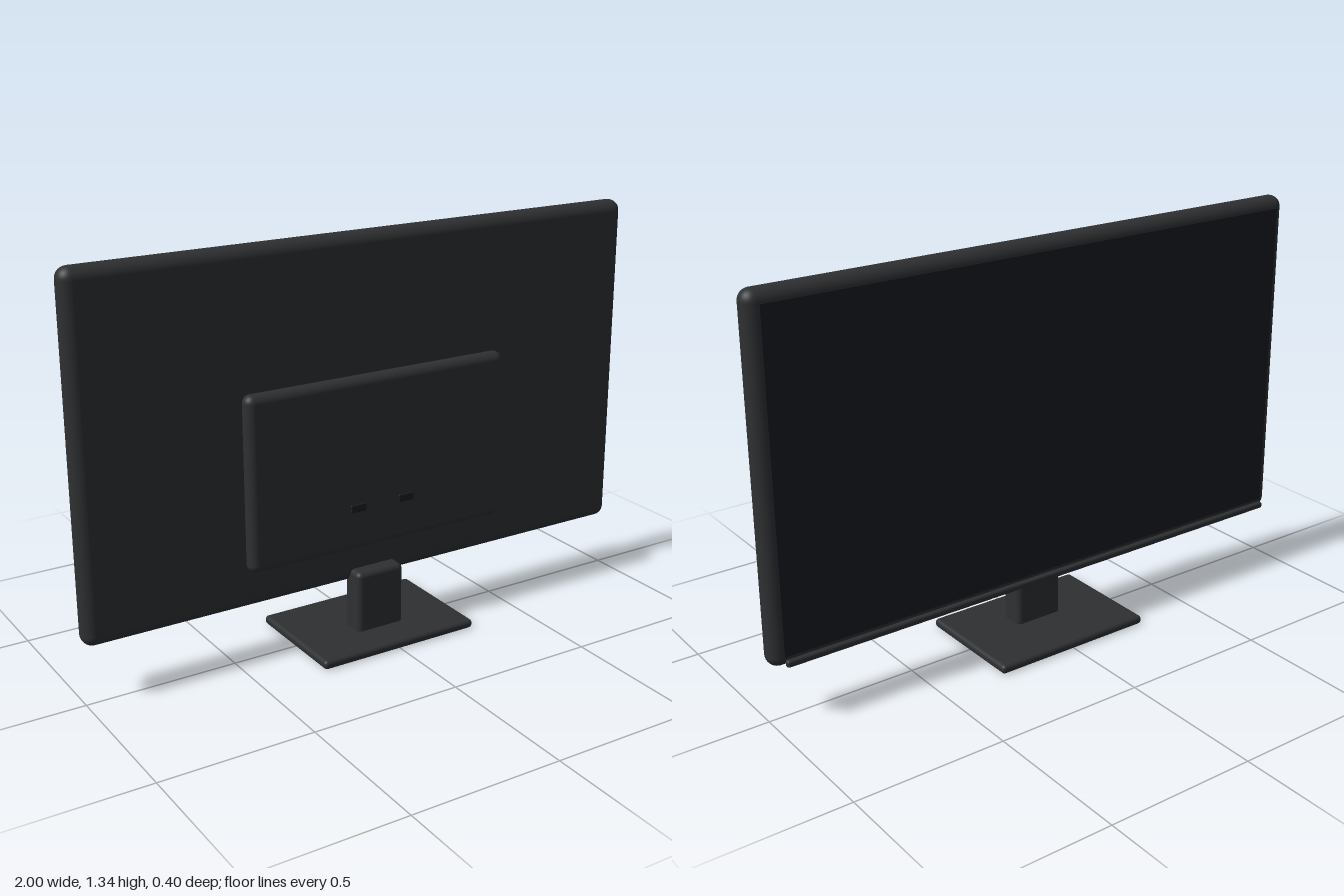
import * as THREE from 'three';
import { RoundedBoxGeometry } from 'three/addons/geometries/RoundedBoxGeometry.js';

const paint = (color) => new THREE.MeshStandardMaterial({ color });

export function createModel() {
  const group = new THREE.Group();
  const shell = paint(0x2e3032);
  const glass = paint(0x161b21);
  const dark = paint(0x1c1d1f);

  // Rounded block given by its extents along each axis
  function block(name, [x0, x1], [y0, y1], [z0, z1], radius, material) {
    const size = [x1 - x0, y1 - y0, z1 - z0];
    const geometry = radius > 0
      ? new RoundedBoxGeometry(...size, 5, radius)
      : new THREE.BoxGeometry(...size);
    const mesh = new THREE.Mesh(geometry, material);
    mesh.name = name;
    mesh.position.set((x0 + x1) / 2, (y0 + y1) / 2, (z0 + z1) / 2);
    group.add(mesh);
  }

  // Stand
  block('standBase', [-0.285, 0.285], [0, 0.03], [-0.2, 0.2], 0.013, shell);
  block('standNeck', [-0.087, 0.087], [0.015, 0.235], [-0.006, 0.078], 0.018, shell);

  // Display housing, with the panel on the -z side
  block('housing', [-1, 1], [0.19, 1.335], [-0.049, 0.028], 0.037, shell);
  block('screen', [-0.96, 0.96], [0.23, 1.297], [-0.055, -0.035], 0, glass);
  block('lowerTrim', [-0.96, 0.96], [0.199, 0.222], [-0.071, -0.051], 0.008, shell);

  // Electronics cover and its sockets on the +z side
  block('rearCover', [-0.473, 0.473], [0.325, 0.897], [0.027, 0.083], 0.027, shell);
  for (const x of [-0.09, 0.09]) {
    block('socket', [x - 0.028, x + 0.028], [0.457, 0.483], [0.07, 0.089], 0.003, dark);
  }
  return group;
}
